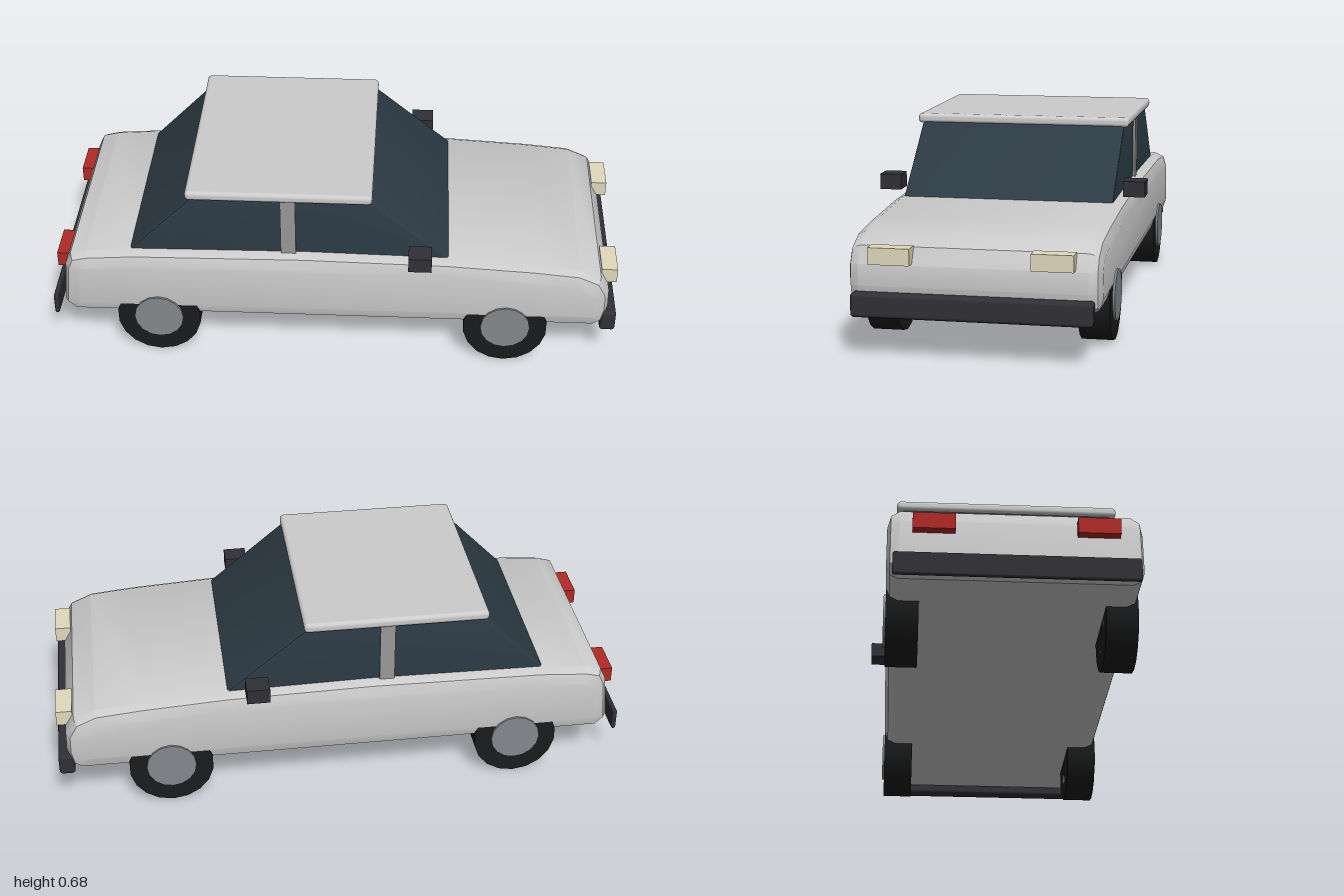
import * as THREE from 'three';
import { toCreasedNormals } from 'three/addons/utils/BufferGeometryUtils.js';
import { RoundedBoxGeometry } from 'three/addons/geometries/RoundedBoxGeometry.js';

const mat = (color) => new THREE.MeshStandardMaterial({ color });

// Side profile extruded across the car, bevelled inwards so the profile keeps its size
function profileSolid(points, halfWidth, bevel, thickness, segments) {
  const shape = new THREE.Shape(points.map(([x, y]) => new THREE.Vector2(x, y)));
  const depth = 2 * (halfWidth - thickness);
  const geo = new THREE.ExtrudeGeometry(shape, {
    depth, bevelEnabled: true, bevelSize: bevel, bevelOffset: -bevel,
    bevelThickness: thickness, bevelSegments: segments,
  });
  geo.translate(0, 0, -depth / 2);
  return toCreasedNormals(geo, 0.5);
}

export function createModel() {
  const car = new THREE.Group();
  car.name = 'car';
  const paint = mat(0xcccccc);
  const glass = mat(0x2c3a44);
  const rubber = mat(0x1a1b1c);
  const trim = mat(0x303036);
  const hubMetal = mat(0x84898d);
  const lamp = mat(0xe2dabc);
  const tail = mat(0xb02a26);

  const add = (name, geo, material, x = 0, y = 0, z = 0) => {
    const mesh = new THREE.Mesh(geo, material);
    mesh.name = name;
    mesh.position.set(x, y, z);
    car.add(mesh);
    return mesh;
  };
  // Block given by its x, y and z ranges, optionally rounded
  const block = (name, [x0, x1], [y0, y1], [z0, z1], material, radius = 0) => {
    const size = [x1 - x0, y1 - y0, z1 - z0];
    const geo = radius
      ? new RoundedBoxGeometry(...size, 3, radius)
      : new THREE.BoxGeometry(...size);
    return add(name, geo, material, (x0 + x1) / 2, (y0 + y1) / 2, (z0 + z1) / 2);
  };

  // Lower body
  add('body', profileSolid([
    [-0.92, 0.155], [0.92, 0.155], [0.955, 0.175], [0.968, 0.23], [0.966, 0.3],
    [0.935, 0.355], [0.86, 0.388], [0.7, 0.403], [0.4, 0.42], [-0.1, 0.428],
    [-0.7, 0.42], [-0.87, 0.407], [-0.925, 0.393], [-0.945, 0.35], [-0.96, 0.19],
  ], 0.41, 0.05, 0.04, 2), paint);

  // Glasshouse, sunk slightly into the body
  add('cabinGlass', profileSolid([
    [-0.73, 0.4], [0.425, 0.4], [0.13, 0.647], [-0.49, 0.647],
  ], 0.367, 0.012, 0.015, 3), glass);

  // Roof and centre pillars
  block('roof', [-0.508, 0.133], [0.642, 0.677], [-0.383, 0.383], paint, 0.014);
  block('centrePillar', [-0.182, -0.13], [0.4, 0.65], [-0.375, 0.375], mat(0x999999));

  // Bumpers
  block('frontBumper', [0.945, 1], [0.132, 0.211], [-0.39, 0.39], trim, 0.012);
  block('rearBumper', [-1, -0.984], [0.132, 0.211], [-0.39, 0.39], trim, 0.007);

  for (const [side, s] of [['left', -1], ['right', 1]]) {
    const span = (a, b) => [Math.min(a * s, b * s), Math.max(a * s, b * s)];

    // Lamps and door mirrors
    block(side + 'Headlight', [0.94, 0.996], [0.305, 0.36], span(0.194, 0.33), lamp);
    block(side + 'TailLight', [-0.982, -0.93], [0.305, 0.36], span(0.194, 0.33), tail);
    block(side + 'DoorMirror', [0.262, 0.342], [0.432, 0.486], span(0.394, 0.469), trim);

    // Wheels: tyre with a slightly proud hub
    for (const [end, x] of [['Front', 0.61], ['Rear', -0.62]]) {
      const tyre = new THREE.CylinderGeometry(0.148, 0.148, 0.106, 18);
      tyre.rotateX(Math.PI / 2);
      add(side + end + 'Tyre', tyre, rubber, x, 0.148, s * 0.356);
      const hub = new THREE.CylinderGeometry(0.087, 0.087, 0.114, 16);
      hub.rotateX(Math.PI / 2);
      add(side + end + 'Hub', hub, hubMetal, x, 0.152, s * 0.36);
    }
  }
  return car;
}
